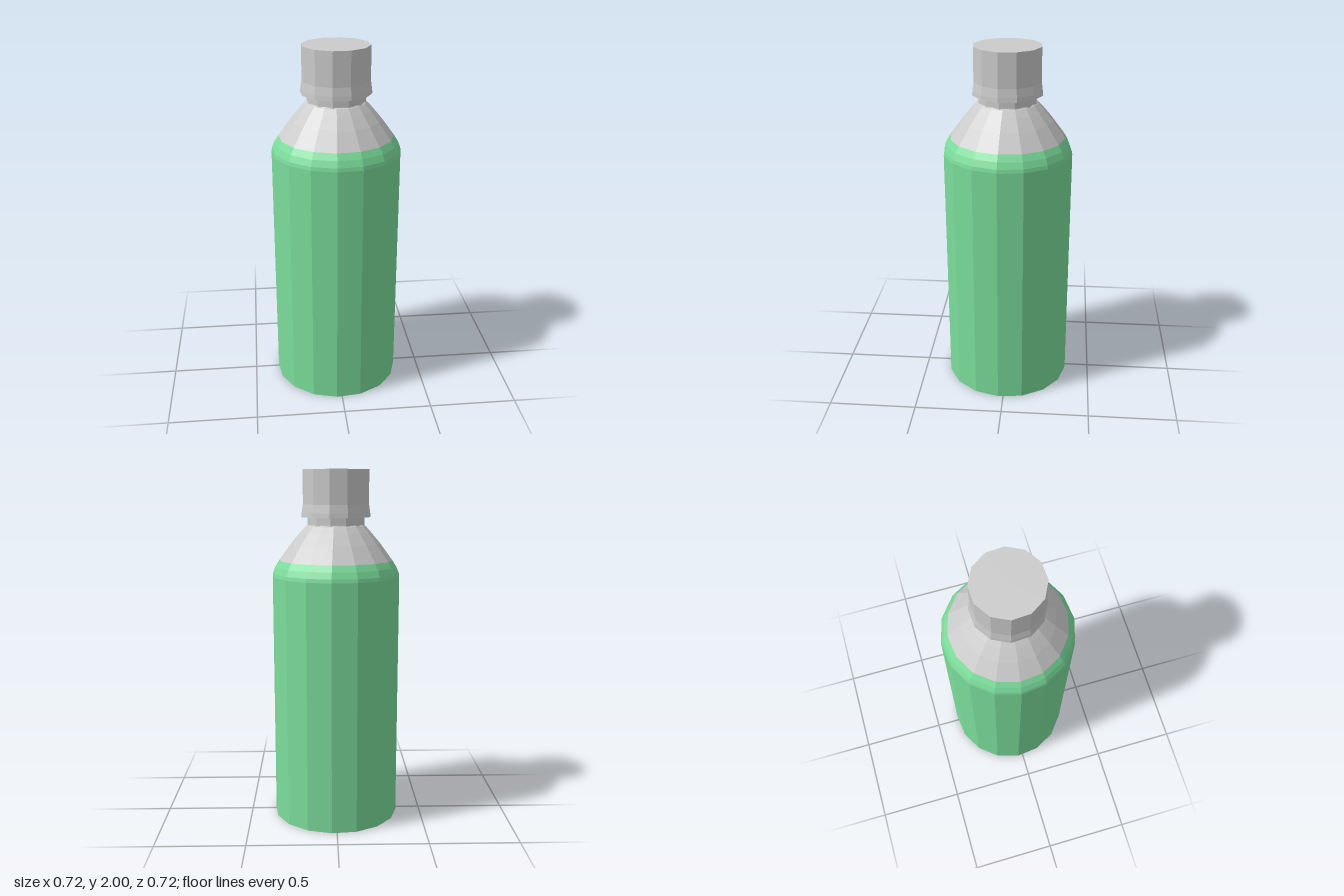
import * as THREE from 'three';

const grey = new THREE.MeshStandardMaterial({ color: 0xcccccc, flatShading: true });
const green = new THREE.MeshStandardMaterial({ color: 0x7bdd9b, flatShading: true });

// Faceted solid of revolution from [radius, height] pairs, listed bottom to top
function turned(name, profile, sides, startDegrees, material) {
  const points = profile.map(([r, y]) => new THREE.Vector2(r, y));
  const start = THREE.MathUtils.degToRad(startDegrees);
  const mesh = new THREE.Mesh(new THREE.LatheGeometry(points, sides, start), material);
  mesh.name = name;
  return mesh;
}

export function createModel() {
  const bottle = new THREE.Group();
  bottle.name = 'bottle';

  // Sixteen-sided green body with a closed base and rounded upper edge
  bottle.add(turned('body', [
    [0, 0], [0.361, 0], [0.361, 1.41], [0.357, 1.43], [0.342, 1.465], [0.32, 1.5],
  ], 16, -4.8, green));

  // Bare shoulder tapering up to the neck
  bottle.add(turned('shoulder', [
    [0.32, 1.5], [0.25, 1.595], [0.2, 1.655], [0.168, 1.69], [0.155, 1.7],
  ], 16, -4.8, grey));

  // Twelve-sided neck, hidden inside the cap at the top
  bottle.add(turned('neck', [[0.168, 1.66], [0.162, 1.7], [0.162, 1.76]], 12, -11.5, grey));

  // Screw cap with a flared lower rim
  bottle.add(turned('cap', [
    [0.15, 1.745], [0.197, 1.74], [0.195, 1.765], [0.188, 1.81], [0.188, 2], [0, 2],
  ], 12, -11.5, grey));

  return bottle;
}
